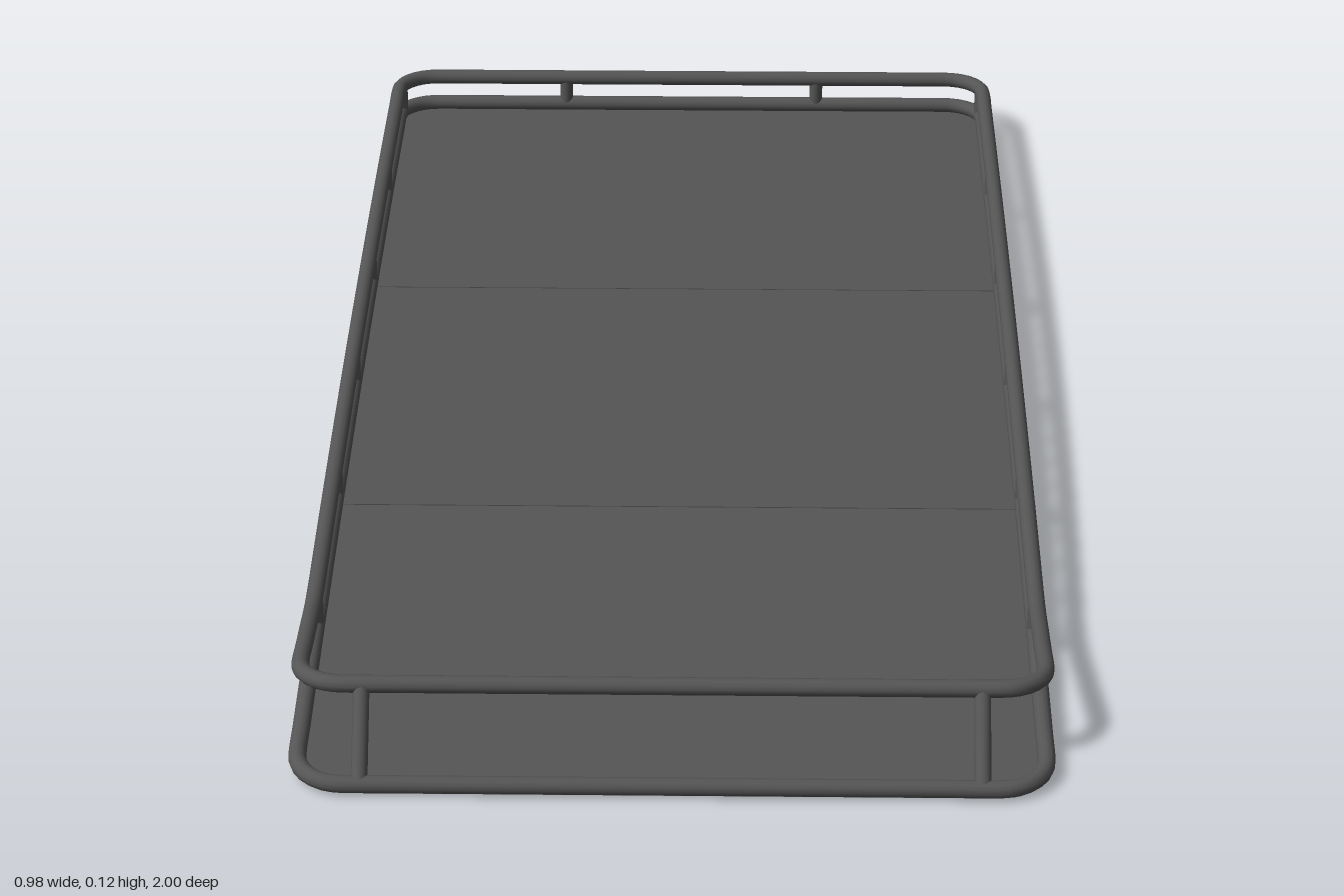
import * as THREE from 'three';

const R = 0.0115;          // rail tube radius
const HALF_W = 0.476;      // rail centre line, half width
const BACK = -0.9885, FRONT = 0.9885, UPPER_FRONT = 0.908;
const CORNER = 0.06;

// Gentle arch of the lower rail, and the upper rail that kicks up at the front
const lowerY = z => 0.053 - 0.0095 * z - 0.0295 * z * z;
const KICK = 0.65;
const upperY = z => z < KICK
  ? lowerY(z) + 0.046
  : THREE.MathUtils.mapLinear(z, KICK, UPPER_FRONT, lowerY(KICK) + 0.046, 0.113);

const material = new THREE.MeshStandardMaterial({ color: 0x555555 });

function add(parent, name, geometry) {
  const mesh = new THREE.Mesh(geometry, material);
  mesh.name = name;
  parent.add(mesh);
  return mesh;
}

// Closed tube around a rounded rectangle, lifted by a height rule
function railGeometry(front, height) {
  const corners = [[1, front], [-1, front], [-1, BACK], [1, BACK]];
  const outline = [];
  corners.forEach(([side, z], i) => {
    const cx = side * (HALF_W - CORNER);
    const cz = z === front ? z - CORNER : z + CORNER;
    for (let k = 0; k <= 6; k++) {
      const a = (i + k / 6) * Math.PI / 2;
      outline.push(new THREE.Vector2(cx + CORNER * Math.cos(a), cz + CORNER * Math.sin(a)));
    }
  });
  const points = [];
  outline.forEach((p, i) => {
    const q = outline[(i + 1) % outline.length];
    const steps = Math.max(1, Math.round(p.distanceTo(q) / 0.06));
    for (let s = 0; s < steps; s++) {
      const m = p.clone().lerp(q, s / steps);
      points.push(new THREE.Vector3(m.x, height(m.y), m.y));
    }
  });
  const curve = new THREE.CatmullRomCurve3(points, true, 'centripetal');
  curve.arcLengthDivisions = 1200;
  return new THREE.TubeGeometry(curve, 400, R, 12, true);
}

// Round bar between two points
function bar(parent, name, a, b, radius) {
  const dir = b.clone().sub(a);
  const mesh = add(parent, name, new THREE.CylinderGeometry(radius, radius, dir.length(), 12));
  mesh.position.copy(a).add(b).multiplyScalar(0.5);
  mesh.quaternion.setFromUnitVectors(new THREE.Vector3(0, 1, 0), dir.normalize());
}

// Half width of the floor at z, rounded at the outer corners
function floorHalfWidth(z) {
  const d = Math.min(z - BACK, FRONT - z);
  if (d >= CORNER) return HALF_W;
  const t = CORNER - d;
  return HALF_W - CORNER + Math.sqrt(Math.max(0, CORNER * CORNER - t * t));
}

// One flat floor section between two stations
function floorGeometry(z0, z1) {
  const n = 24;
  const geometry = new THREE.BoxGeometry(2, 0.004, 1, 1, 1, n);
  const p = geometry.attributes.position;
  for (let i = 0; i < p.count; i++) {
    // cosine spacing gathers the rows at the rounded corners
    const t = (1 - Math.cos((p.getZ(i) + 0.5) * Math.PI)) / 2;
    const z = z0 + (z1 - z0) * t;
    const y = THREE.MathUtils.lerp(lowerY(z0), lowerY(z1), t) - 0.012;
    p.setXYZ(i, p.getX(i) * floorHalfWidth(z), p.getY(i) + y, z);
  }
  geometry.computeVertexNormals();
  return geometry;
}

export function createModel() {
  const rack = new THREE.Group();
  rack.name = 'roofRack';

  add(rack, 'lowerRail', railGeometry(FRONT, lowerY));
  add(rack, 'upperRail', railGeometry(UPPER_FRONT, upperY));

  // Floor in three sections with narrow seams
  const floor = new THREE.Group();
  floor.name = 'floor';
  rack.add(floor);
  const seams = [BACK, -0.31, 0.33, FRONT];
  for (let i = 0; i < 3; i++) {
    const z0 = seams[i] + (i > 0 ? 0.001 : 0);
    const z1 = seams[i + 1] - (i < 2 ? 0.001 : 0);
    add(floor, 'floorPanel', floorGeometry(z0, z1));
  }

  const post = (name, x, z) => bar(rack, name,
    new THREE.Vector3(x, lowerY(z), z), new THREE.Vector3(x, upperY(z), z), 0.0105);

  for (const side of [-1, 1]) {
    // Side posts
    for (const z of [0.645, 0.325, 0.01, -0.305, -0.62, -0.945]) {
      post('sidePost', side * (z < -0.93 ? HALF_W - 0.002 : HALF_W), z);
    }
    // Back posts
    post('backPost', side * 0.205, BACK);
    // Slanted front struts
    bar(rack, 'frontStrut',
      new THREE.Vector3(side * 0.393, lowerY(FRONT), FRONT),
      new THREE.Vector3(side * 0.393, upperY(UPPER_FRONT), UPPER_FRONT), 0.0105);
  }
  return rack;
}
